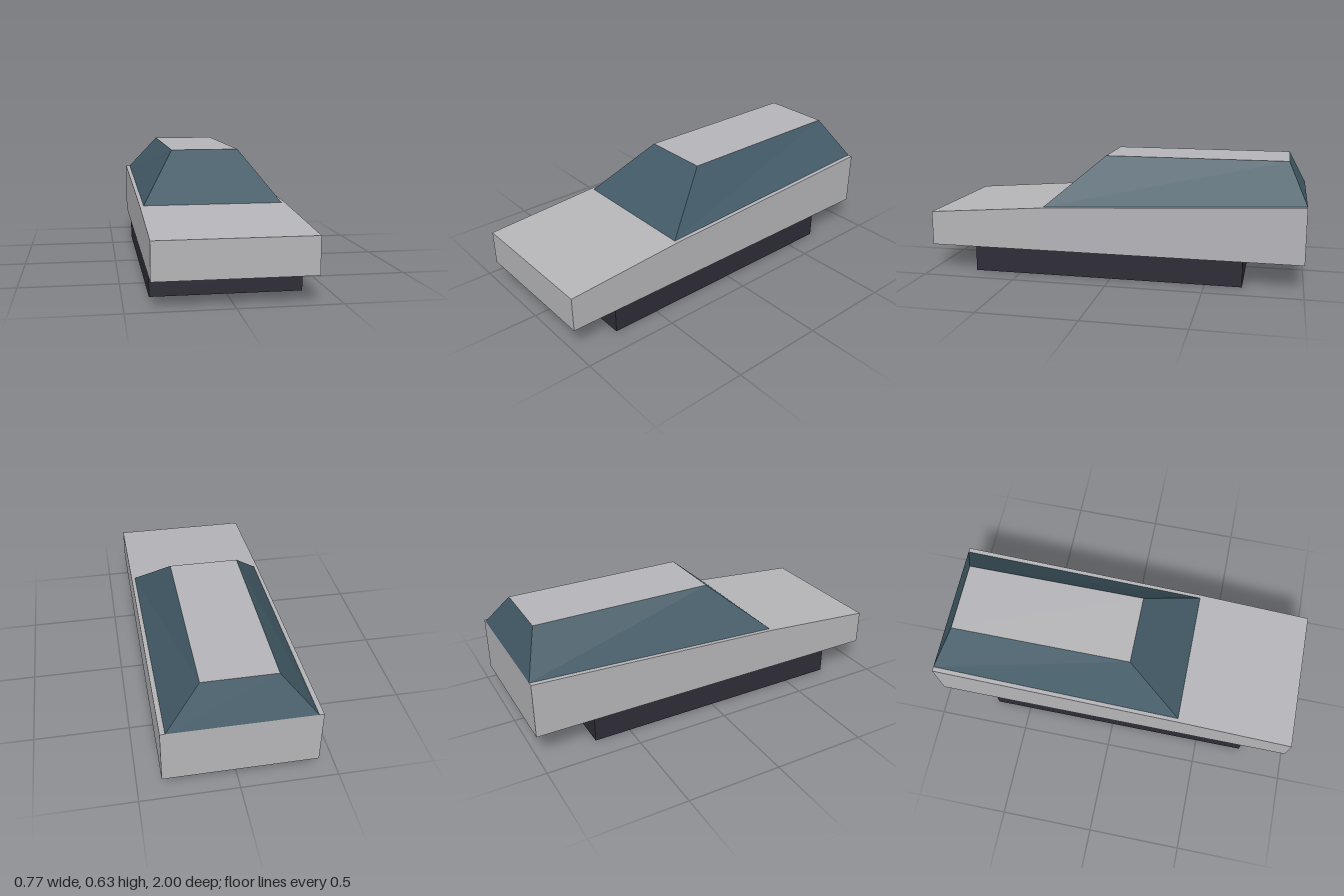
import * as THREE from 'three';

const paint = (name, color) => {
  const m = new THREE.MeshStandardMaterial({ color, side: THREE.DoubleSide });
  m.name = name;
  return m;
};

// Flat faces from lists of corners, counter-clockwise seen from outside
function faces(polygons) {
  const pos = [];
  for (const p of polygons)
    for (let i = 1; i < p.length - 1; i++) pos.push(...p[0], ...p[i], ...p[i + 1]);
  const g = new THREE.BufferGeometry();
  g.setAttribute('position', new THREE.Float32BufferAttribute(pos, 3));
  g.computeVertexNormals();
  return g;
}

// Closed band of walls between two rings with matching corners
const walls = (lower, upper) => lower.map((p, i) => {
  const j = (i + 1) % lower.length;
  return [p, lower[j], upper[j], upper[i]];
});

// Mirrored ring through stations [half width, y, z], listed front to back
const ring = (stations) => [
  ...stations.map(([x, y, z]) => [x, y, z]),
  ...stations.map(([x, y, z]) => [-x, y, z]).reverse(),
];

export function createModel() {
  const group = new THREE.Group();
  const bodyPaint = paint('body grey', 0xb5b5b9);
  const glass = paint('teal glass', 0x425a66);
  const dark = paint('dark underbody', 0x2e2d37);

  const add = (name, polygons, material) => {
    const mesh = new THREE.Mesh(faces(polygons), material);
    mesh.name = name;
    group.add(mesh);
  };

  // Wedge body, open underneath, with a crease where the bonnet meets the cabin
  const W = 0.384, floor = 0.137;
  const top = [[W, 0.321, 1], [W, 0.37, 0.367], [W, 0.432, -1]];
  const deck = ring(top);
  add('body', [
    ...walls(ring(top.map(([x, , z]) => [x, floor, z])), deck),
    [deck[0], deck[1], deck[4], deck[5]],
    [deck[1], deck[2], deck[3], deck[4]],
  ], bodyPaint);

  // Cabin windows and roof panel
  const roof = ring([[0.185, 0.63, 0.064], [0.185, 0.63, -0.904]]);
  add('cabinWindows', walls(ring([[0.364, 0.371, 0.367], [0.359, 0.432, -1]]), roof), glass);
  add('roof', [roof], bodyPaint);

  // Underbody skirt, open above and below
  const skirt = (y) => ring([[0.372, y, 0.754], [0.372, y, -0.692]]);
  add('underbodySkirt', walls(skirt(0), skirt(floor)), dark);

  return group;
}
